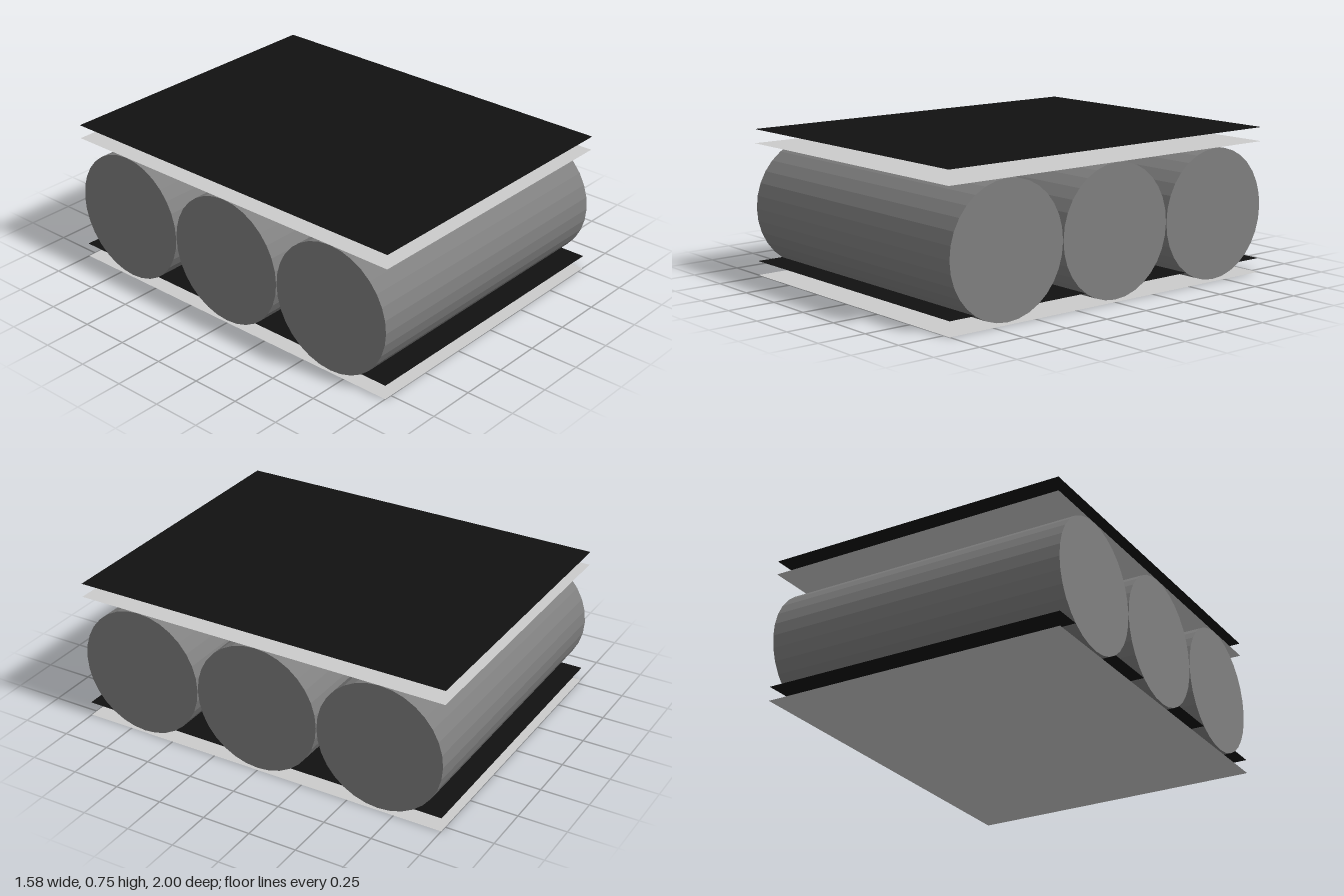
import * as THREE from 'three';

const WIDTH = 1.58, DEPTH = 2, RADIUS = 0.332, CENTRE_Y = 0.345;

export function createModel() {
  const model = new THREE.Group();
  const rollMat = new THREE.MeshStandardMaterial({ color: 0x808080, flatShading: true });
  const lightMat = new THREE.MeshStandardMaterial({ color: 0xcccccc, side: THREE.DoubleSide });
  const darkMat = new THREE.MeshStandardMaterial({ color: 0x111111, side: THREE.DoubleSide });

  // Three rollers side by side, lying along x
  const rollGeo = new THREE.CylinderGeometry(RADIUS, RADIUS, WIDTH, 32).rotateZ(Math.PI / 2);
  ['backRoller', 'middleRoller', 'frontRoller'].forEach((name, i) => {
    const roller = new THREE.Mesh(rollGeo, rollMat);
    roller.name = name;
    roller.position.set(0, CENTRE_Y, (i - 1) * 0.667);
    model.add(roller);
  });

  // Paired thin sheets below and above the rollers
  const sheetGeo = new THREE.PlaneGeometry(WIDTH, DEPTH).rotateX(-Math.PI / 2);
  const addSheet = (name, y, material) => {
    const sheet = new THREE.Mesh(sheetGeo, material);
    sheet.name = name;
    sheet.position.y = y;
    model.add(sheet);
  };
  addSheet('lowerLightSheet', 0, lightMat);
  addSheet('lowerDarkSheet', 0.073, darkMat);
  addSheet('upperLightSheet', 0.678, lightMat);
  addSheet('upperDarkSheet', 0.75, darkMat);

  return model;
}
